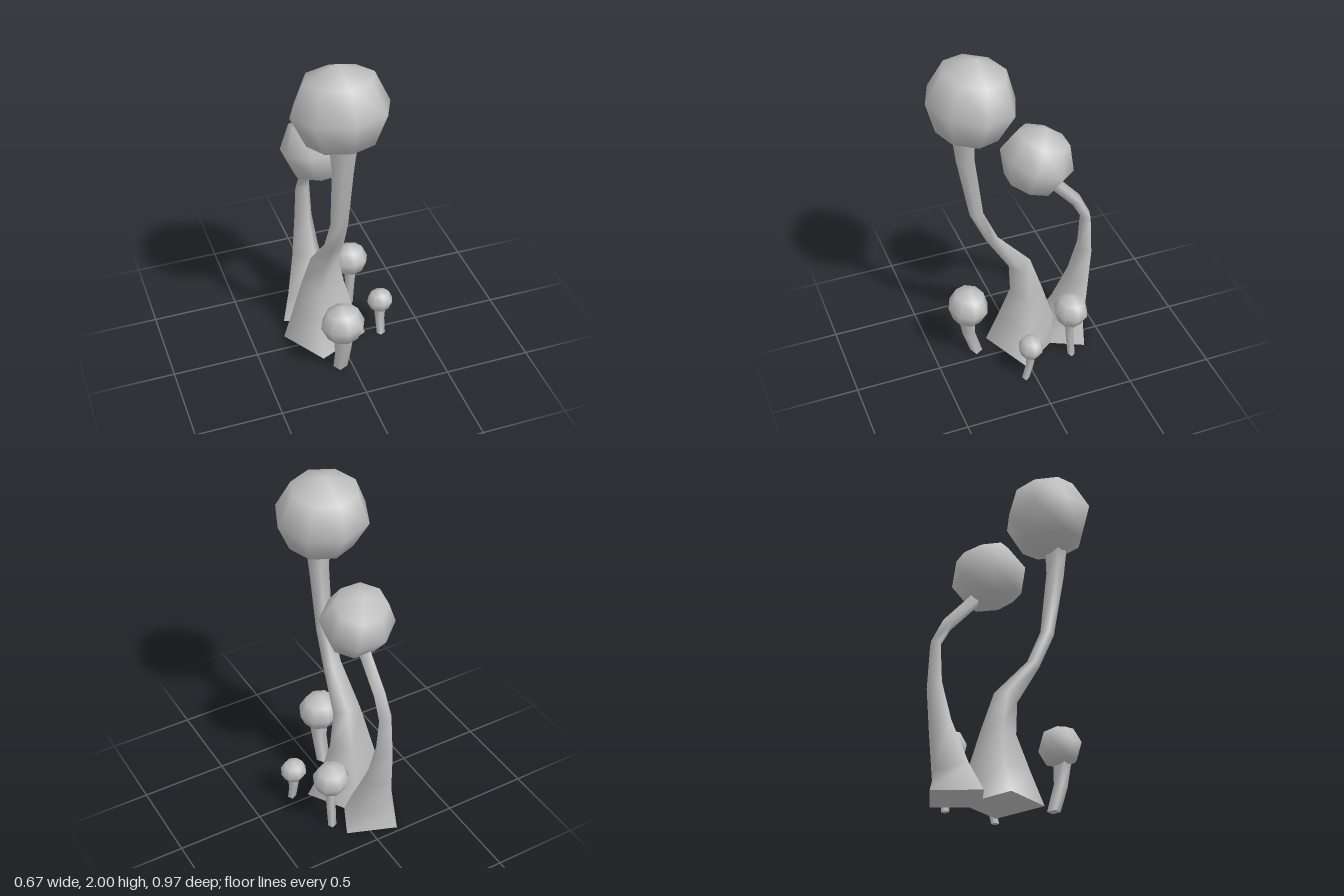
import * as THREE from 'three';

const SIDES = 4;

const grey = new THREE.MeshStandardMaterial({ color: 0xc0c0c0 });
grey.name = 'grey';
const ballGeometry = new THREE.SphereGeometry(1, 8, 4);

// Square-section stem through rings of [y, z, halfDepth, halfWidth];
// each ring above the flat base stands square to the bend of the stem.
function stemGeometry(rings, turn) {
  const pos = [];
  const index = [];
  const last = rings.length - 1;
  const addRing = (i) => {
    const [y, z, depth, width] = rings[i];
    const before = rings[Math.max(i - 1, 0)];
    const after = rings[Math.min(i + 1, last)];
    const lean = i === 0 ? 0 : Math.atan2(after[1] - before[1], after[0] - before[0]);
    for (let j = 0; j < SIDES; j++) {
      const a = turn + (j * 2 * Math.PI) / SIDES;
      const u = (Math.cos(a) / Math.cos(turn)) * width;
      const v = (Math.sin(a) / Math.cos(turn)) * depth;
      pos.push(u, y - v * Math.sin(lean), z + v * Math.cos(lean));
    }
  };
  for (let i = 0; i <= last; i++) addRing(i);
  for (let i = 0; i < last; i++) {
    for (let j = 0; j < SIDES; j++) {
      const a = i * SIDES + j;
      const c = i * SIDES + ((j + 1) % SIDES);
      index.push(a, a + SIDES, c, c, a + SIDES, c + SIDES);
    }
  }
  // base cap with its own vertices, so the rim stays sharp
  const b = pos.length / 3;
  addRing(0);
  index.push(b, b + 1, b + 2, b, b + 2, b + 3);

  const geo = new THREE.BufferGeometry();
  geo.setAttribute('position', new THREE.Float32BufferAttribute(pos, 3));
  geo.setIndex(index);
  geo.computeVertexNormals();
  return geo;
}

// Stem with a coarse ball on its tip, leaning back
function makeStalk(name, x, rings, turn, ball) {
  const stalk = new THREE.Group();
  stalk.name = name;
  stalk.position.x = x;

  const stem = new THREE.Mesh(stemGeometry(rings, turn), grey);
  stem.name = 'stem';

  const head = new THREE.Mesh(ballGeometry, grey);
  head.name = 'ball';
  head.position.set(0, ball.y, ball.z);
  head.scale.set(ball.r * 1.08, ball.r * 0.98, ball.r);
  head.rotation.set(-ball.tilt, ball.spin, 0);

  stalk.add(stem, head);
  return stalk;
}

// Small stalk: a short stem widening from its foot to the ball
function makeSprout(name, x, footZ, topZ, width, y, z, r) {
  const top = y - r * 0.6;
  const rings = [
    [0, footZ, width * 0.6, width * 0.7],
    [top * 0.5, footZ + (topZ - footZ) * 0.75, width * 0.62, width * 0.77],
    [top, topZ, width * 0.8, width],
  ];
  return makeStalk(name, x, rings, 0.3, { y, z, r, tilt: 0.12, spin: 0 });
}

export function createModel() {
  const model = new THREE.Group();
  model.name = 'ballTippedStalks';

  // tall stalk swaying forward
  const tall = [
    [0, -0.04, 0.2, 0.235],
    [0.17, -0.068, 0.158, 0.175],
    [0.39, -0.07, 0.087, 0.12],
    [0.595, -0.028, 0.063, 0.078],
    [0.82, 0.138, 0.034, 0.053],
    [1.02, 0.225, 0.036, 0.047],
    [1.4, 0.281, 0.047, 0.055],
    [1.56, 0.288, 0.057, 0.07],
  ];
  model.add(makeStalk('tallStalk', -0.07, tall, 0.3, { y: 1.76, z: 0.24, r: 0.248, tilt: 0.14, spin: 0 }));

  // shorter stalk hooking forward near its tip
  const bent = [
    [0, -0.302, 0.173, 0.196],
    [0.14, -0.338, 0.108, 0.145],
    [0.38, -0.398, 0.068, 0.09],
    [0.6, -0.435, 0.048, 0.06],
    [0.835, -0.435, 0.031, 0.046],
    [0.958, -0.372, 0.033, 0.042],
    [1.12, -0.227, 0.034, 0.042],
    [1.19, -0.18, 0.036, 0.045],
  ];
  model.add(makeStalk('bentStalk', -0.07, bent, -0.38, { y: 1.297, z: -0.13, r: 0.202, tilt: 0.29, spin: 0.35 }));

  // three sprouts around the base
  model.add(
    makeSprout('frontSprout', -0.07, 0.248, 0.305, 0.056, 0.365, 0.29, 0.12),
    makeSprout('backSprout', 0.165, -0.269, -0.25, 0.034, 0.356, -0.256, 0.102),
    makeSprout('sideSprout', 0.254, 0.056, 0.025, 0.034, 0.235, 0.027, 0.073),
  );
  return model;
}
